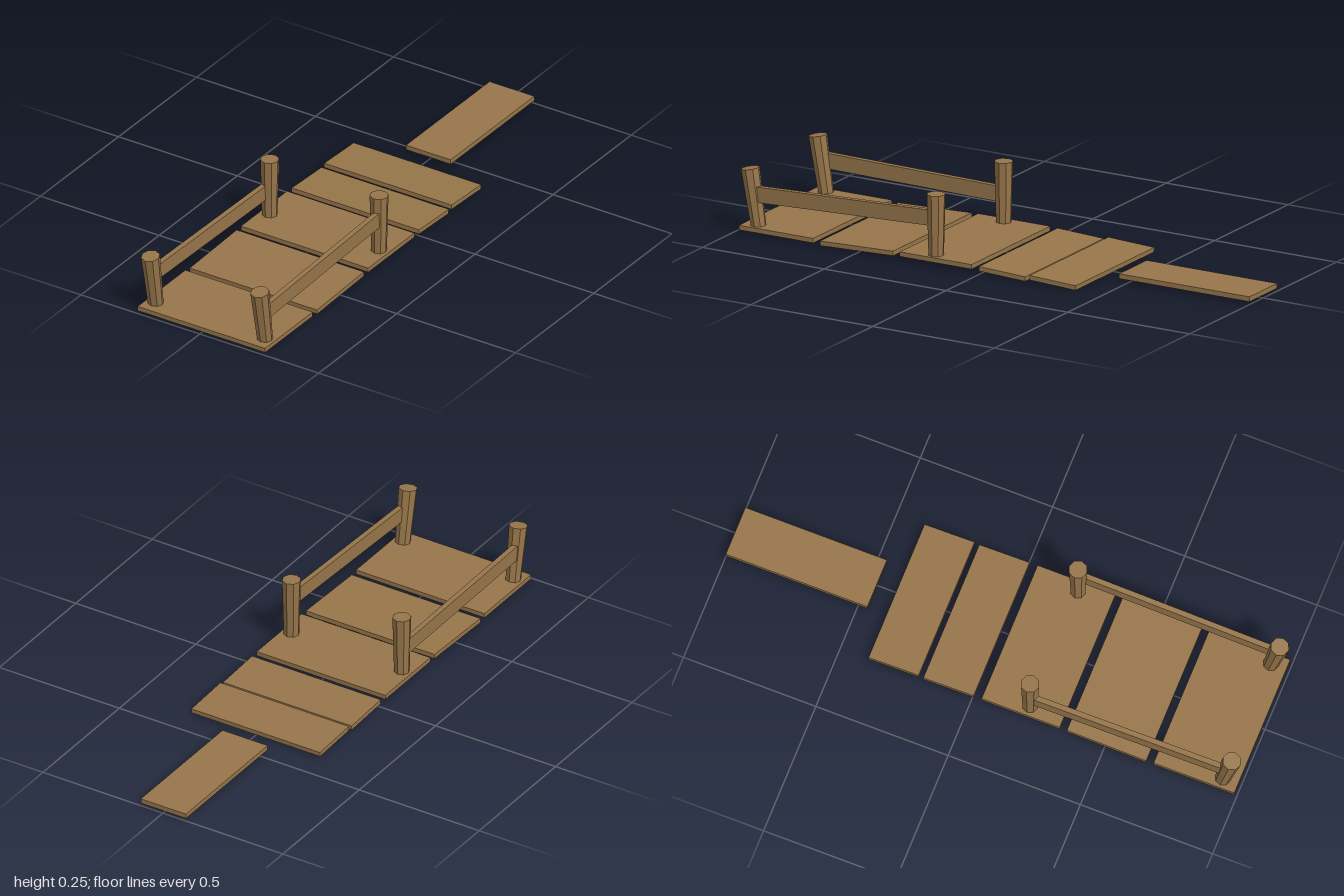
import * as THREE from 'three';

export function createModel() {
  const model = new THREE.Group();
  const wood = new THREE.MeshStandardMaterial({ color: 0x96754a, flatShading: true });
  wood.name = 'wood';

  function add(name, geometry) {
    const mesh = new THREE.Mesh(geometry, wood);
    mesh.name = name;
    model.add(mesh);
    return mesh;
  }

  // Board running along z between two (y, z) centre points
  function board(name, x, width, height, [y0, z0], [y1, z1]) {
    const mesh = add(name, new THREE.BoxGeometry(width, height, Math.hypot(y1 - y0, z1 - z0)));
    mesh.position.set(x, (y0 + y1) / 2, (z0 + z1) / 2);
    mesh.rotation.x = Math.atan2(y1 - y0, z0 - z1);
  }

  // Deck planks, some slightly tilted: front y, front z, back y, back z
  const planks = [
    [0.013, 0.99, 0.013, 0.685],
    [0.008, 0.657, 0.018, 0.357],
    [0.02, 0.33, 0.02, 0.035],
    [0.018, 0.005, 0.01, -0.185],
    [0.018, -0.203, 0.01, -0.392],
  ];
  planks.forEach(([y0, z0, y1, z1], i) =>
    board('deckPlank' + (i + 1), 0, 0.536, 0.017, [y0, z0], [y1, z1]));

  // Narrow loose plank at the back
  board('loosePlank', -0.002, 0.188, 0.018, [0.019, -0.465], [0.019, -1]);

  // Tapered posts, standing on the deck and wider at the top
  function post(name, x, bottom, top) {
    const a = new THREE.Vector3(x, ...bottom);
    const b = new THREE.Vector3(x, ...top);
    const mesh = add(name, new THREE.CylinderGeometry(0.034, 0.028, a.distanceTo(b), 8));
    mesh.position.copy(a).add(b).multiplyScalar(0.5);
    mesh.rotation.x = Math.atan2(b.z - a.z, b.y - a.y);
  }

  for (const [side, s] of [['left', 1], ['right', -1]]) {
    post(side + 'FrontPost', s * 0.23, [0.019, 0.932], [0.227, 0.966]);
    post(side + 'BackPost', s * 0.23, [0.024, 0.203], [0.252, 0.203]);
  }

  // Handrails: the left one rises to the back, the right one sags a little
  board('leftRail', 0.237, 0.02, 0.057, [0.137, 0.94], [0.166, 0.205]);
  board('rightRail', -0.239, 0.02, 0.057, [0.137, 0.94], [0.127, 0.205]);

  return model;
}
